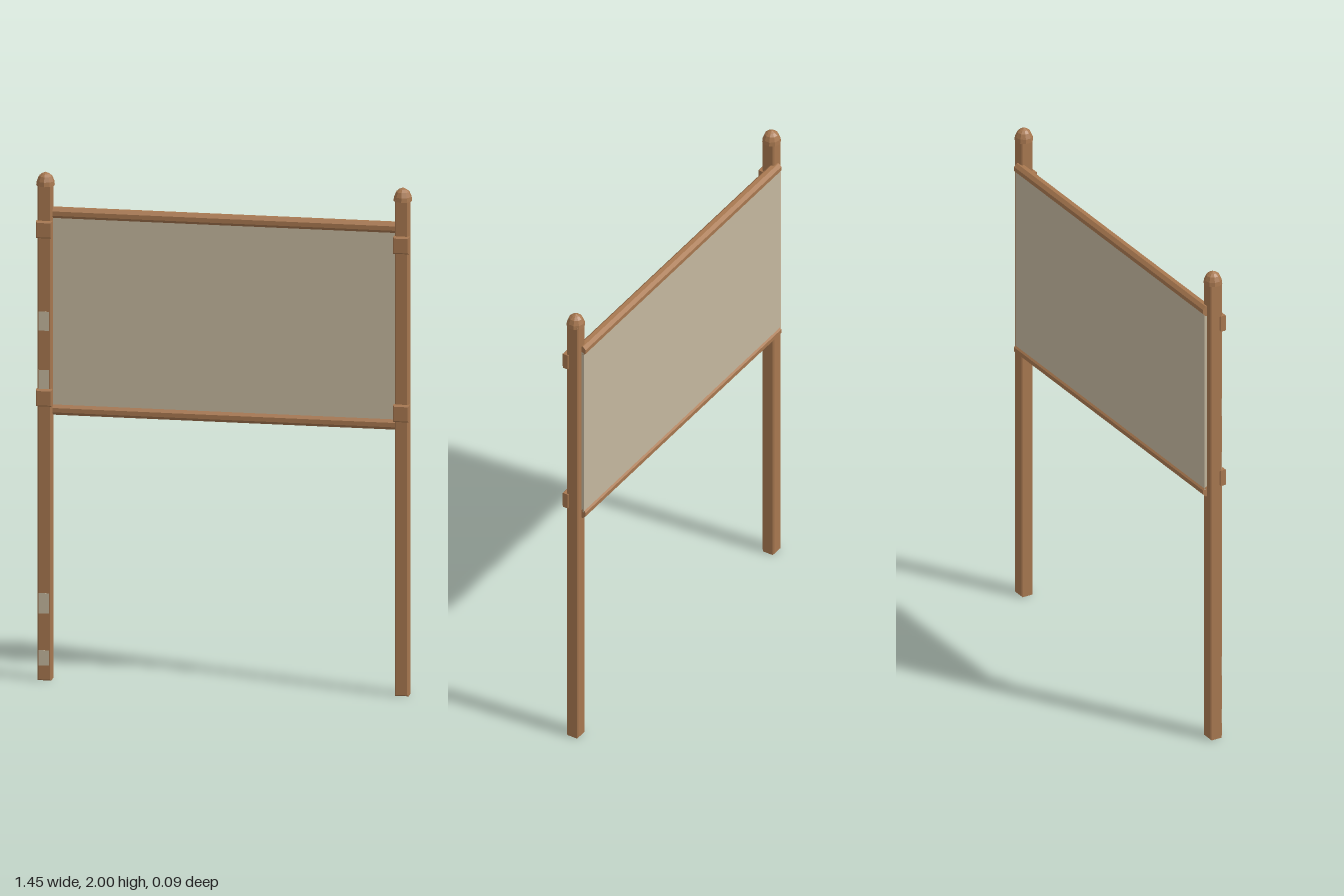
import * as THREE from 'three';

export function createModel() {
  const model = new THREE.Group();
  model.name = 'noticeBoard';

  const wood = new THREE.MeshStandardMaterial({ color: 0xa87850, flatShading: true });
  wood.name = 'wood';
  const canvas = new THREE.MeshStandardMaterial({ color: 0xc4b79e, flatShading: true });
  canvas.name = 'pale canvas';

  function add(parent, name, geometry, material, x, y, z) {
    const mesh = new THREE.Mesh(geometry, material);
    mesh.name = name;
    mesh.position.set(x, y, z);
    parent.add(mesh);
    return mesh;
  }

  // Box with bevelled edges, centred on its origin
  function bevelBox(w, h, d, b) {
    const x = w / 2 - b, y = h / 2 - b;
    const shape = new THREE.Shape();
    shape.moveTo(-x, -y);
    shape.lineTo(x, -y);
    shape.lineTo(x, y);
    shape.lineTo(-x, y);
    const geometry = new THREE.ExtrudeGeometry(shape, {
      depth: d - 2 * b, bevelEnabled: true, bevelSize: b, bevelThickness: b, bevelSegments: 1,
    });
    return geometry.translate(0, 0, -d / 2 + b);
  }

  // Posts with domed caps and front blocks
  const capProfile = [[0, 1.948], [0.036, 1.948], [0.034, 1.965], [0.026, 1.984], [0.015, 1.993], [0, 2]]
    .map(([r, y]) => new THREE.Vector2(r, y));
  for (const side of [-1, 1]) {
    const post = new THREE.Group();
    post.name = side < 0 ? 'rightPost' : 'leftPost';
    post.position.x = side * 0.69;
    model.add(post);
    add(post, 'postShaft', bevelBox(0.053, 1.955, 0.053, 0.005), wood, 0, 0.9775, 0);
    add(post, 'postCap', new THREE.LatheGeometry(capProfile, 10), wood, 0, 0, 0);
    for (const y of [1.117, 1.78])
      add(post, 'frontBlock', bevelBox(0.062, 0.066, 0.03, 0.005), wood, 0, y, 0.028);
  }

  // Round rails
  for (const [name, y] of [['topRail', 1.835], ['bottomRail', 1.06]]) {
    const rail = new THREE.CylinderGeometry(0.0225, 0.0225, 1.38, 8);
    rail.rotateY(Math.PI / 8).rotateZ(Math.PI / 2);
    add(model, name, rail, wood, 0, y, -0.0235);
  }

  // Board panel
  add(model, 'panel', new THREE.BoxGeometry(1.38, 0.76, 0.024), canvas, 0, 1.4475, -0.026);

  // Pale worn patches on the right post
  for (const [low, high] of [[0.06, 0.12], [0.265, 0.345], [1.15, 1.225], [1.38, 1.455]])
    add(model, 'wornPatch', new THREE.BoxGeometry(0.041, high - low, 0.002), canvas, -0.692, (low + high) / 2, 0.0265);

  return model;
}
